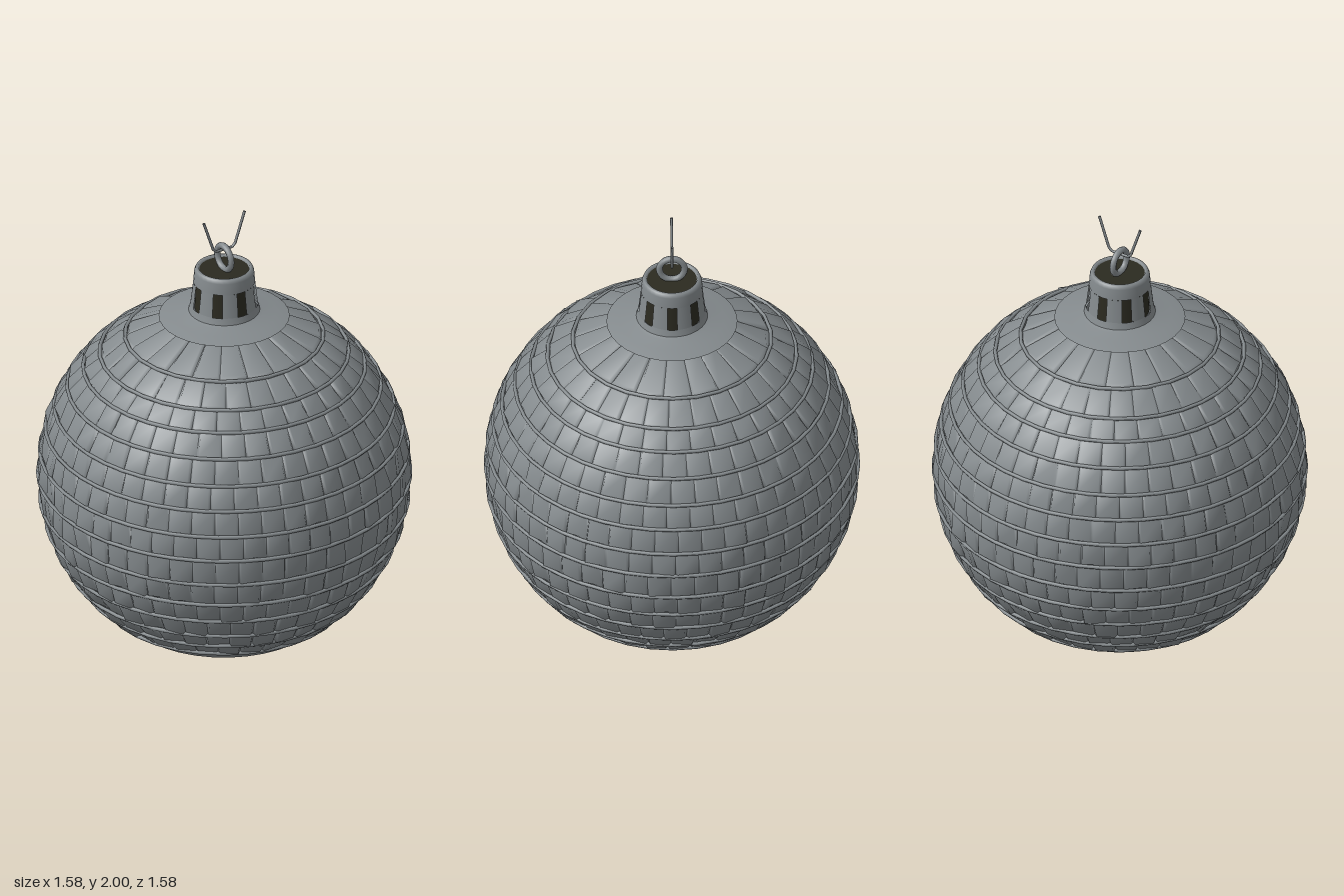
import * as THREE from 'three';

const silver = new THREE.MeshStandardMaterial({ color: 0x848a8d, side: THREE.DoubleSide });
silver.name = 'silver';
const dark = new THREE.MeshStandardMaterial({ color: 0x2b2a20, side: THREE.DoubleSide });
dark.name = 'dark inside';

const R = 0.78, CY = 0.78;
const ROWS = [0.19, 0.27, 0.35, 0.45, 0.55, 0.66, 0.78, 0.89, 1.0, 1.1, 1.2, 1.29, 1.36, 1.44, 1.53];

let seed = 7;
function rand() {
  seed = (seed * 16807) % 2147483647;
  return seed / 2147483647 - 0.5;
}

function add(group, name, geometry, material = silver) {
  const mesh = new THREE.Mesh(geometry, material);
  mesh.name = name;
  group.add(mesh);
  return mesh;
}

const lathe = (pts, n, start = 0, length = Math.PI * 2) =>
  new THREE.LatheGeometry(pts.map(([x, y]) => new THREE.Vector2(x, y)), n, start, length);

const ringRadius = (y) => Math.sqrt(R * R - (y - CY) ** 2);
const columns = (r) => Math.max(18, Math.round((2 * Math.PI * r) / 0.1));

// Point on the ball at latitude and longitude, pushed out by lift
function ballPoint(lat, lon, lift) {
  const r = R + lift;
  return [r * Math.cos(lat) * Math.sin(lon), CY + r * Math.sin(lat), r * Math.cos(lat) * Math.cos(lon)];
}

// One band of slightly crooked, softly bevelled tiles between two heights
function tileBand(y0, y1) {
  const pos = [], index = [];
  const a0 = Math.asin((y0 - CY) / R), a1 = Math.asin((y1 - CY) / R);
  const n = columns(ringRadius((y0 + y1) / 2));
  const step = (Math.PI * 2) / n, shift = rand() * step;
  const corners = [[0, 0], [1, 0], [1, 1], [0, 1]];
  for (let i = 0; i < n; i++) {
    const base = pos.length / 3;
    const tiltU = rand() * 0.018, tiltV = rand() * 0.02;
    for (const inset of [0, 0.1]) {
      for (const [u, v] of corners) {
        const s = u + (0.5 - u) * 2 * inset, t = v + (0.5 - v) * 2 * inset;
        const lift = inset ? 0.002 + (u - 0.5) * tiltU + (v - 0.5) * tiltV + rand() * 0.008 : -0.008;
        pos.push(...ballPoint(a0 + (a1 - a0) * t, shift + (i + s) * step, lift));
      }
    }
    index.push(base + 4, base + 5, base + 6, base + 4, base + 6, base + 7);
    for (let k = 0; k < 4; k++) {
      const a = base + k, b = base + ((k + 1) % 4);
      index.push(a, b, b + 4, a, b + 4, a + 4);
    }
  }
  const g = new THREE.BufferGeometry();
  g.setAttribute('position', new THREE.Float32BufferAttribute(pos, 3));
  g.setIndex(index);
  g.computeVertexNormals();
  return g;
}

export function createModel() {
  const model = new THREE.Group();
  model.name = 'bauble';

  // Tiled ball with a raised lip between rows
  const ball = new THREE.Group();
  ball.name = 'ball';
  model.add(ball);
  ROWS.forEach((y, i) => {
    if (i < ROWS.length - 1) add(ball, 'tileBand', tileBand(y, ROWS[i + 1]));
    const r = ringRadius(y);
    const lip = add(ball, 'rowLip', new THREE.TorusGeometry(r + 0.002, 0.008, 6, columns(r)));
    lip.rotation.x = Math.PI / 2;
    lip.position.y = y;
  });

  // Plain caps closing the ball below and above
  add(ball, 'bottomCap', lathe([[0, 0], [0.08, 0.016], [0.2, 0.032], [0.3, 0.06], [0.42, 0.12], [0.51, 0.19]], 36));
  add(ball, 'shoulder', lathe([[0.275, 1.53], [0.22, 1.545], [0.165, 1.555], [0.14, 1.565]], 32));

  // Crown: lower collar, eight pillars with slots between, upper collar and rim
  const crown = new THREE.Group();
  crown.name = 'crown';
  model.add(crown);
  add(crown, 'lowerCollar', lathe([[0.152, 1.555], [0.146, 1.575], [0.142, 1.59]], 32));
  add(crown, 'upperCollar', lathe([[0.13, 1.695], [0.126, 1.745], [0.12, 1.76], [0.108, 1.762], [0.104, 1.75]], 32));
  const slot = 0.3;
  for (let i = 0; i < 8; i++) {
    add(crown, 'pillar', lathe([[0.142, 1.59], [0.136, 1.64], [0.13, 1.695]], 4,
      (i * Math.PI) / 4 + slot / 2, Math.PI / 4 - slot));
  }
  add(crown, 'innerWall', lathe([[0.125, 1.57], [0.115, 1.72]], 24), dark);
  const top = add(crown, 'innerTop', new THREE.CircleGeometry(0.108, 24), dark);
  top.rotation.x = -Math.PI / 2;
  top.position.y = 1.752;

  // Hanging loop standing in the front-to-back plane
  const loop = add(model, 'loop', new THREE.TorusGeometry(0.053, 0.014, 8, 24));
  loop.rotation.y = Math.PI / 2;
  loop.position.y = 1.806;

  // Bent wire threaded through the loop
  const path = new THREE.CurvePath();
  const points = [[-0.102, 1.998], [-0.055, 1.86], [-0.04, 1.846], [0.04, 1.846], [0.055, 1.86], [0.102, 1.998]]
    .map(([x, y]) => new THREE.Vector3(x, y, 0));
  for (let i = 1; i < points.length; i++) path.add(new THREE.LineCurve3(points[i - 1], points[i]));
  add(model, 'hookWire', new THREE.TubeGeometry(path, 60, 0.006, 6));

  return model;
}
